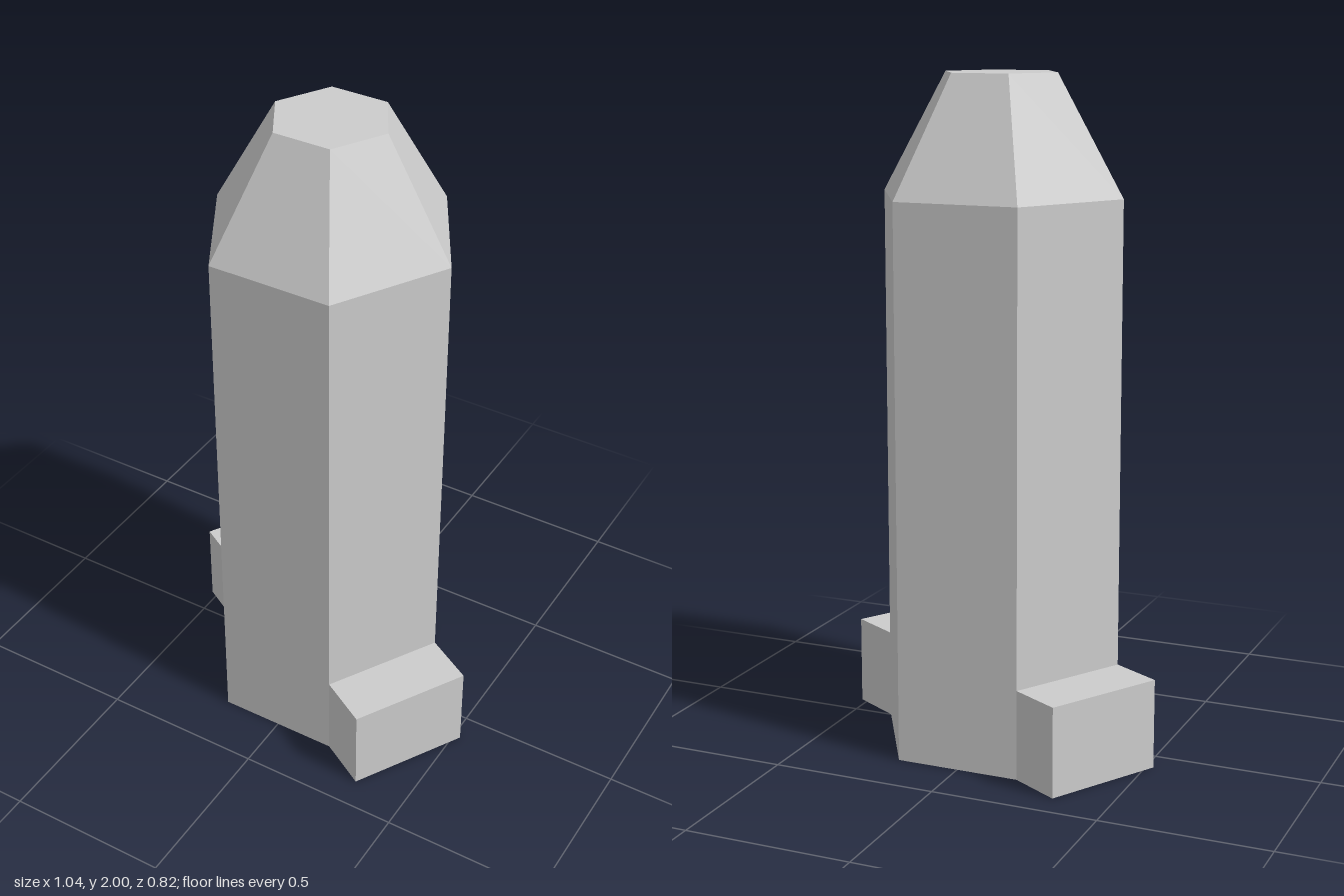
import * as THREE from 'three';

export function createModel() {
  const model = new THREE.Group();
  const material = new THREE.MeshStandardMaterial({ color: 0xcccccc, flatShading: true });
  const radius = 0.377; // corner radius, which is also the side length of the hexagon

  // Six-sided post with a tapered, flat-topped head
  const profile = [[0, 0], [radius, 0], [radius, 1.65], [0.175, 2], [0, 2]]
    .map(([r, y]) => new THREE.Vector2(r, y));
  const post = new THREE.Mesh(new THREE.LatheGeometry(profile, 6, Math.PI / 2), material);
  post.name = 'post';
  model.add(post);

  // Two foot blocks set flush against opposite faces of the post
  const height = 0.27, depth = 0.167;
  const apothem = radius * Math.cos(Math.PI / 6);
  const footGeometry = new THREE.BoxGeometry(radius, height, depth);
  footGeometry.translate(0, height / 2, apothem + depth / 2);
  [['leftFoot', Math.PI / 3], ['rightFoot', Math.PI * 4 / 3]].forEach(([name, angle]) => {
    const foot = new THREE.Mesh(footGeometry, material);
    foot.name = name;
    foot.rotation.y = angle;
    model.add(foot);
  });

  return model;
}
